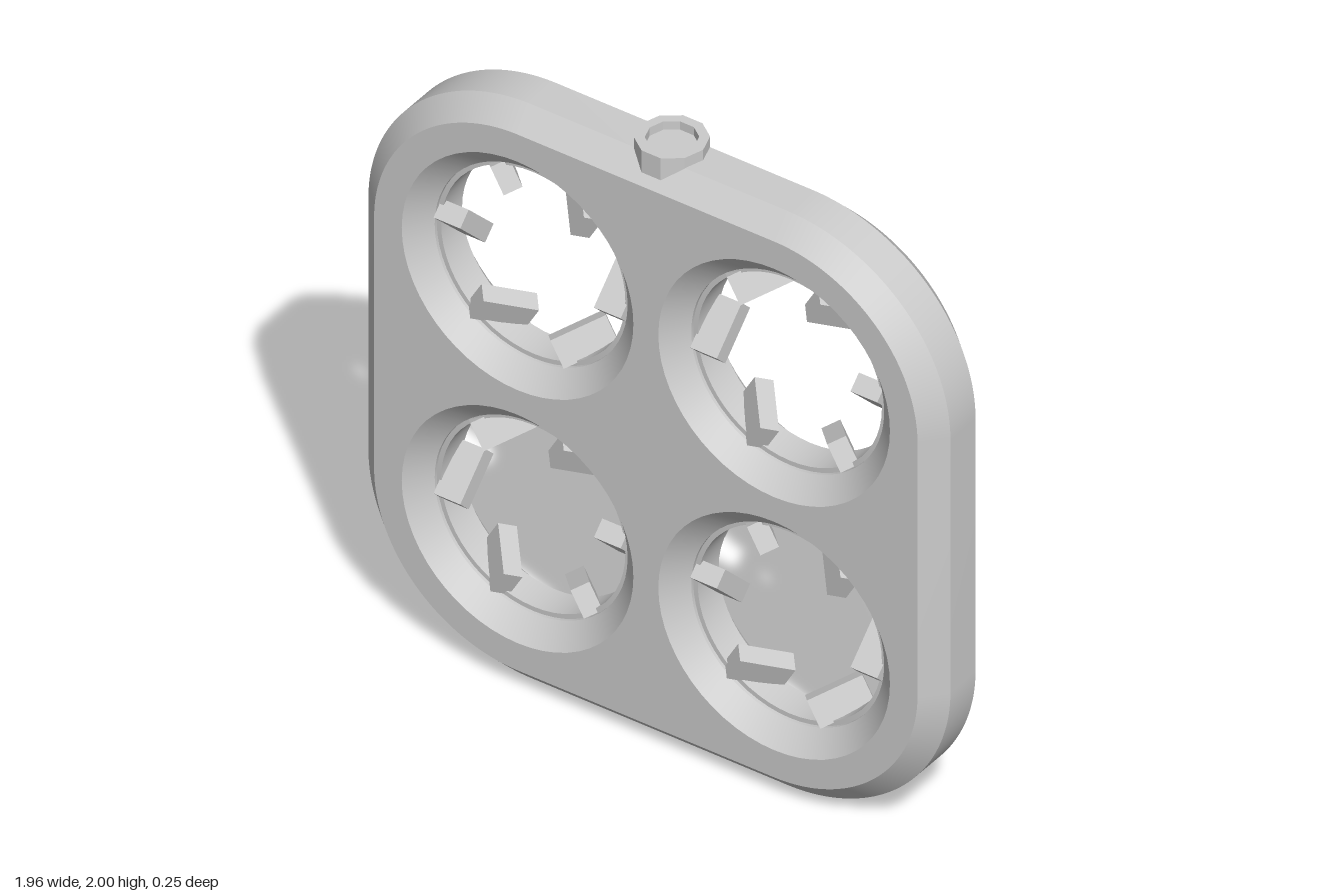
import * as THREE from 'three';
import { toCreasedNormals } from 'three/addons/utils/BufferGeometryUtils.js';

const grey = new THREE.MeshStandardMaterial({ color: 0xcccccc });
const faceted = new THREE.MeshStandardMaterial({ color: 0xcccccc, flatShading: true });

const CY = 0.985; // height of the frame's centre
const OFFSET = 0.432; // rotor distance from the centre in x and y
const BEVEL = 0.065;

function mesh(name, geometry, material = grey) {
  const m = new THREE.Mesh(geometry, material);
  m.name = name;
  return m;
}

function circlePath(x, y, r) {
  return new THREE.Path().absarc(x, y, r, 0, Math.PI * 2, true);
}

// Rounded square outline, drawn corner by corner
function roundedSquare(half, r) {
  const s = new THREE.Shape();
  const c = half - r;
  [[1, 1], [-1, 1], [-1, -1], [1, -1]].forEach(([sx, sy], i) => {
    s.absarc(sx * c, sy * c, r, i * Math.PI / 2, (i + 1) * Math.PI / 2, false);
  });
  s.closePath();
  return s;
}

// Chamfered frame with four chamfered round openings
function frame() {
  const shape = roundedSquare(0.98 - BEVEL, 0.485);
  for (const sx of [-1, 1]) for (const sy of [-1, 1]) {
    shape.holes.push(circlePath(sx * OFFSET, sy * OFFSET, 0.39));
  }
  const geo = new THREE.ExtrudeGeometry(shape, {
    depth: 0.12, bevelEnabled: true, bevelSegments: 1,
    bevelSize: BEVEL, bevelThickness: BEVEL, curveSegments: 28,
  });
  geo.translate(0, 0, -0.06);
  const m = mesh('frame', toCreasedNormals(geo, 0.5));
  m.position.y = CY;
  return m;
}

// Ring with six pitched blades pointing inward; spin = 1 or -1 sets the pitch
function rotor(spin) {
  const g = new THREE.Group();
  g.name = 'rotor';
  const shape = new THREE.Shape().absarc(0, 0, 0.328, 0, Math.PI * 2, false);
  shape.holes.push(circlePath(0, 0, 0.31));
  const geo = new THREE.ExtrudeGeometry(shape, { depth: 0.1, bevelEnabled: false, curveSegments: 28 });
  geo.translate(0, 0, -0.05);
  g.add(mesh('rotorRing', toCreasedNormals(geo, 0.5)));

  const bladeGeo = new THREE.BoxGeometry(0.09, 0.168, 0.057);
  bladeGeo.rotateX(-spin * Math.PI / 4);
  bladeGeo.translate(0.27, 0, 0);
  for (let i = 0; i < 6; i++) {
    const blade = mesh('rotorBlade', bladeGeo);
    blade.rotation.z = i * Math.PI / 3;
    g.add(blade);
  }
  return g;
}

// Ten-sided hollow socket on the top edge
function socket() {
  const profile = [[0, 1.9], [0.105, 1.9], [0.105, 2], [0.075, 2], [0.075, 1.972], [0, 1.972]]
    .map(([r, y]) => new THREE.Vector2(r, y));
  return mesh('topSocket', new THREE.LatheGeometry(profile, 10, Math.PI / 2), faceted);
}

export function createModel() {
  const model = new THREE.Group();
  model.name = 'rotorFrame';
  model.add(frame(), socket());
  // Neighbouring rotors have opposite pitch
  for (const sx of [-1, 1]) for (const sy of [-1, 1]) {
    const r = rotor(-sx * sy);
    r.position.set(sx * OFFSET, CY + sy * OFFSET, 0);
    model.add(r);
  }
  return model;
}
